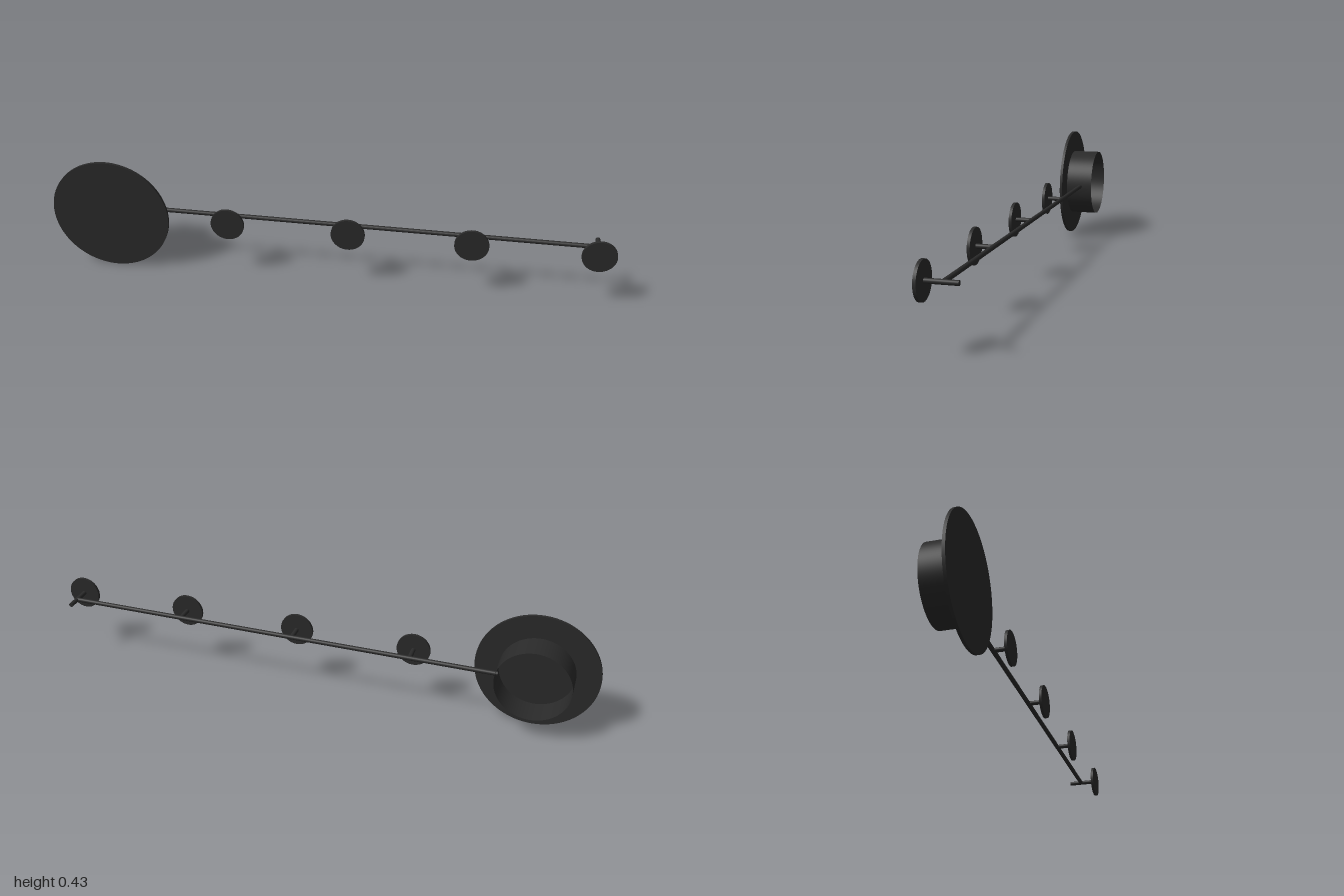
import * as THREE from 'three';

const AXIS_Y = 0.2135; // height of the common centre line
const BACK = -0.056, FRONT = 0.056, PLATE = 0.01;

export function createModel() {
  const group = new THREE.Group();
  const dark = new THREE.MeshStandardMaterial({ color: 0x2a2a2a });
  const darkThin = new THREE.MeshStandardMaterial({ color: 0x2a2a2a, side: THREE.DoubleSide });

  // Round part running along z from z0 to z1
  function roundZ(name, x, radius, z0, z1, segments, open = false) {
    const geometry = new THREE.CylinderGeometry(radius, radius, z1 - z0, segments, 1, open);
    geometry.rotateX(Math.PI / 2);
    const mesh = new THREE.Mesh(geometry, open ? darkThin : dark);
    mesh.name = name;
    mesh.position.set(x, AXIS_Y, (z0 + z1) / 2);
    group.add(mesh);
  }

  // Large plate with the open-backed mounting ring behind it
  const plateX = -0.787;
  roundZ('largePlate', plateX, 0.2135, FRONT - PLATE, FRONT, 96);
  roundZ('mountingRing', plateX, 0.13, BACK, FRONT - PLATE, 96, true);

  // Long rail, its end just showing inside the ring
  const railStart = -0.664, railEnd = 0.938, railZ = -0.009;
  const railGeometry = new THREE.CylinderGeometry(0.008, 0.008, railEnd - railStart, 24);
  railGeometry.rotateZ(Math.PI / 2);
  const rail = new THREE.Mesh(railGeometry, dark);
  rail.name = 'rail';
  rail.position.set((railStart + railEnd) / 2, AXIS_Y, railZ);
  group.add(rail);

  // Small discs on stems; the last stem runs back to the wall
  for (let i = 0; i < 4; i++) {
    const x = -0.357 + i * 0.4322;
    roundZ('smallDisc', x, 0.06, FRONT - PLATE, FRONT, 64);
    roundZ(i === 3 ? 'endPost' : 'stem', x, 0.008, i === 3 ? BACK : railZ, FRONT - PLATE, 24);
  }

  return group;
}
